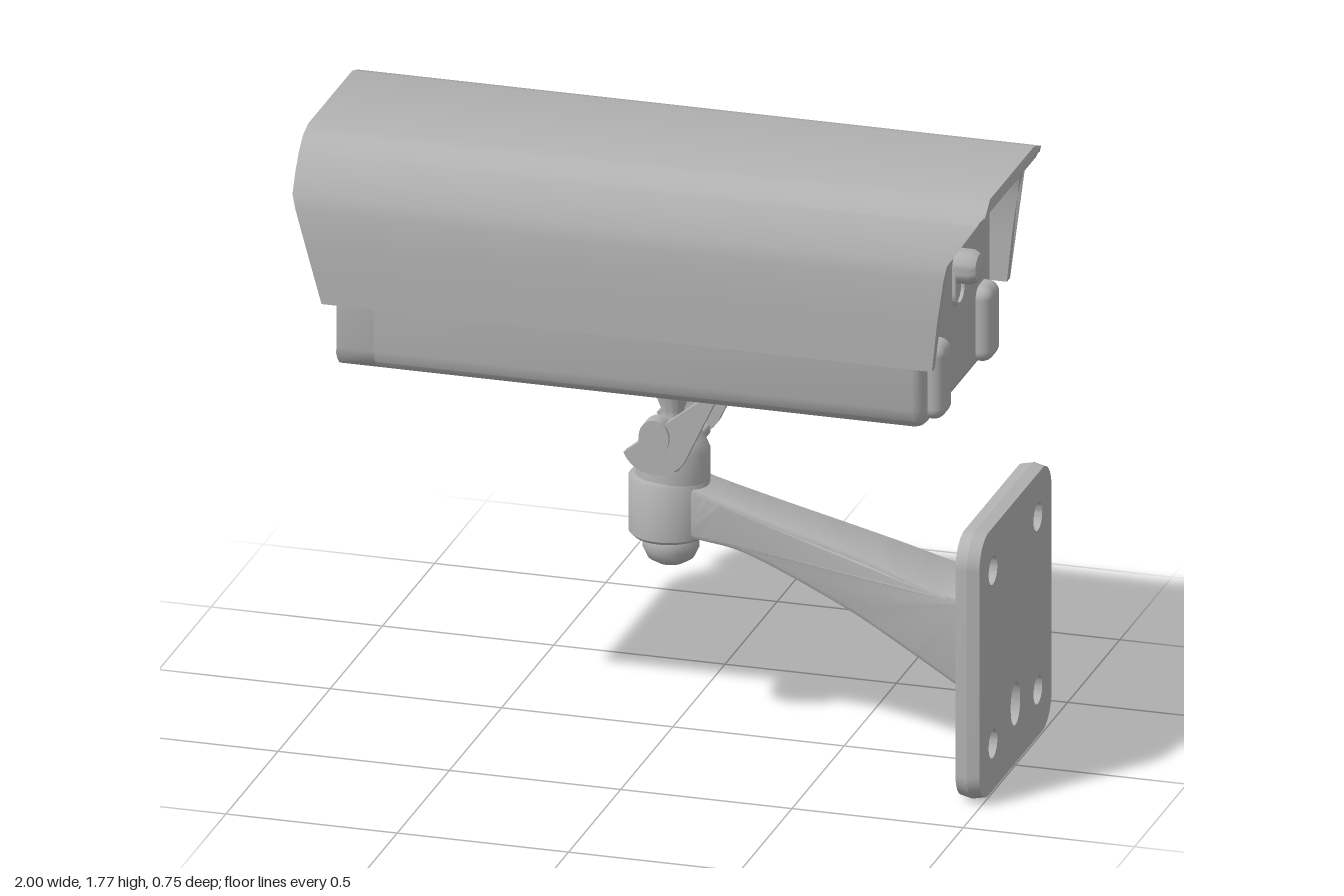
import * as THREE from 'three';
import { toCreasedNormals, mergeVertices } from 'three/addons/utils/BufferGeometryUtils.js';
import { RoundedBoxGeometry } from 'three/addons/geometries/RoundedBoxGeometry.js';

const grey = new THREE.MeshStandardMaterial({ color: 0xb2b2b2 });
grey.name = 'grey metal';

const crease = (g, a = 0.6) => toCreasedNormals(g, a);

// Piecewise-linear lookup through [input, output] pairs
function lookup(pairs, v) {
  if (v <= pairs[0][0]) return pairs[0][1];
  for (let i = 1; i < pairs.length; i++) {
    const [a, p] = pairs[i - 1], [b, q] = pairs[i];
    if (v <= b) return p + (q - p) * (v - a) / (b - a);
  }
  return pairs[pairs.length - 1][1];
}

// Mirrors a half profile [z, y] (right side, bottom to top) to the other side
const mirrored = half => [...half, ...half.map(([z, y]) => [-z, y]).reverse()];
const vecs = pts => pts.map(p => new THREE.Vector2(...p));

// Extrudes a (z, y) shape along x from x0 to x1, bevel kept inside the outline
function extrudeX(shape, x0, x1, bevel = 0) {
  const g = new THREE.ExtrudeGeometry(shape, {
    depth: x1 - x0 - 2 * bevel, curveSegments: 20, bevelEnabled: bevel > 0,
    bevelThickness: bevel, bevelSize: bevel, bevelOffset: -bevel, bevelSegments: 3,
  });
  return g.rotateY(Math.PI / 2).translate(x0 + bevel, 0, 0);
}

function roundedRect(z0, y0, z1, y1, r) {
  const s = new THREE.Shape();
  s.absarc(z1 - r, y0 + r, r, -Math.PI / 2, 0);
  s.absarc(z1 - r, y1 - r, r, 0, Math.PI / 2);
  s.absarc(z0 + r, y1 - r, r, Math.PI / 2, Math.PI);
  s.absarc(z0 + r, y0 + r, r, Math.PI, Math.PI * 1.5);
  s.closePath();
  return s;
}

function ellipseHole(z, y, rz, ry) {
  return new THREE.Path().absellipse(z, y, rz, ry, 0, Math.PI * 2, true);
}

export function createModel() {
  const root = new THREE.Group();
  root.name = 'wallCamera';
  const add = (name, geometry, parent = root) => {
    const m = new THREE.Mesh(geometry, grey);
    m.name = name;
    parent.add(m);
    return m;
  };
  const lathe = pts => crease(new THREE.LatheGeometry(vecs(pts), 32), 0.7);
  const latheX = (pts, x, y, z = 0) => lathe(pts).rotateZ(-Math.PI / 2).translate(x, y, z);

  // Sunshield: U-shaped shell with shaped front and back edges
  const outer = [[0.375, 1.305], [0.374, 1.45], [0.372, 1.58], [0.362, 1.62], [0.335, 1.675],
    [0.3, 1.725], [0.26, 1.76], [0.21, 1.775]];
  const inner = [[0.345, 1.305], [0.345, 1.45], [0.343, 1.57], [0.334, 1.61], [0.31, 1.66],
    [0.28, 1.7], [0.245, 1.732], [0.2, 1.746]];
  const hood = extrudeX(new THREE.Shape(vecs([...mirrored(outer), ...mirrored(inner).reverse()])), 0, 1);
  const frontEdge = [[1.3, -0.91], [1.62, -1]];
  const backEdge = [[1.305, 0.87], [1.5, 0.89], [1.62, 0.91], [1.68, 0.93], [1.73, 0.985], [1.75, 1], [1.775, 0.99]];
  const hp = hood.attributes.position;
  for (let i = 0; i < hp.count; i++) {
    hp.setX(i, lookup(hp.getX(i) < 0.5 ? frontEdge : backEdge, hp.getY(i)));
  }
  add('sunshield', crease(hood, 0.5));

  // Housing with a raised frame around the recessed window
  const bodyPts = mirrored([[0.275, 1.1], [0.305, 1.107], [0.328, 1.13], [0.336, 1.165], [0.336, 1.56],
    [0.325, 1.61], [0.3, 1.66], [0.265, 1.705], [0.23, 1.73], [0.19, 1.742]]);
  add('housing', crease(extrudeX(new THREE.Shape(vecs(bodyPts)), -0.8, 0.83, 0.03)));
  const frame = new THREE.Shape(vecs(bodyPts));
  frame.holes.push(new THREE.Path(roundedRect(-0.285, 1.15, 0.285, 1.69, 0.08).getPoints(8).reverse()));
  add('windowFrame', crease(extrudeX(frame, -0.88, -0.77)));

  // Lens: stepped rings facing forward with a domed glass
  add('lens', latheX([[0.12, 0], [0.215, 0], [0.215, -0.03], [0.2, -0.045], [0.175, -0.045], [0.165, -0.02],
    [0.14, -0.02], [0.135, -0.055], [0.11, -0.055], [0.095, -0.025], [0.07, -0.035], [0.035, -0.045],
    [0, -0.048]].reverse(), -0.8, 1.42));

  // Screws in the lower window frame corners, and side latches at the rear
  for (const s of [-1, 1]) {
    add('frameScrew', new THREE.CylinderGeometry(0.018, 0.018, 0.02, 16)
      .rotateZ(Math.PI / 2).translate(-0.882, 1.135, s * 0.28));
    add('rearLatch', new RoundedBoxGeometry(0.1, 0.225, 0.11, 4, 0.035).translate(0.825, 1.23, s * 0.23));
  }

  // Rear cable fittings
  add('rearScrew', latheX([[0.055, 0], [0.055, 0.02], [0.045, 0.035], [0.028, 0.035], [0.028, 0.02], [0, 0.02]],
    0.825, 1.6));
  const slot = roundedRect(-0.05, 1.36, 0.05, 1.52, 0.049);
  slot.holes.push(new THREE.Path(roundedRect(-0.038, 1.372, 0.038, 1.508, 0.037).getPoints(8).reverse()));
  add('connectorSlot', crease(extrudeX(slot, 0.82, 0.84)));
  add('cableFitting', latheX([[0.05, 0], [0.05, 0.05], [0.04, 0.07], [0.02, 0.075], [0, 0.075]], 0.825, 1.48));

  // Yoke: two tapered cheeks joined under the ball joint
  const yoke = new THREE.Group();
  yoke.name = 'yoke';
  root.add(yoke);
  const cheek = new THREE.Shape();
  cheek.moveTo(-0.23, 1.11);
  cheek.absarc(0, 0.92, 0.1, Math.PI + 0.42, Math.PI * 2 - 0.42);
  cheek.lineTo(0.2, 1.11);
  cheek.closePath();
  for (const s of [-1, 1]) {
    const g = new THREE.ExtrudeGeometry(cheek, { depth: 0.03, bevelEnabled: false, curveSegments: 20 });
    add('yokeCheek', crease(g.translate(0, 0, s * 0.16 - 0.015)), yoke);
    add('yokeBolt', new THREE.CylinderGeometry(0.044, 0.044, 0.05, 24).scale(1, 1, 1.2)
      .rotateX(Math.PI / 2).translate(0, 0.935, s * 0.16), yoke);
  }
  add('yokeStrap', new RoundedBoxGeometry(0.13, 0.035, 0.32, 2, 0.012).translate(0, 0.845, 0), yoke);
  add('mountRail', new THREE.BoxGeometry(0.42, 0.012, 0.34).translate(-0.015, 1.1, 0), yoke);

  // Ball joint, arm collar and the knob below it
  add('ballJoint', lathe([[0.105, 0.74], [0.105, 0.84], [0.09, 0.875], [0.06, 0.905], [0.035, 0.93], [0.032, 0.955],
    [0.052, 1.01], [0.056, 1.06], [0.045, 1.095], [0, 1.105]]));
  add('armCollar', lathe([[0, 0.585], [0.105, 0.585], [0.115, 0.595], [0.115, 0.755], [0.105, 0.768], [0, 0.768]])
    .translate(-0.01, 0, 0));
  add('lockKnob', lathe([[0, 0.497], [0.04, 0.5], [0.066, 0.516], [0.08, 0.545], [0.08, 0.575], [0.07, 0.59],
    [0, 0.59]]).translate(-0.005, 0, 0));

  // Arm: side outline, widening towards the wall
  const arm = new THREE.Shape();
  arm.moveTo(0.03, 0.6);
  arm.splineThru(vecs([[0.12, 0.595], [0.25, 0.57], [0.5, 0.465], [0.7, 0.36], [0.95, 0.22]]));
  arm.lineTo(0.95, 0.545);
  arm.splineThru(vecs([[0.83, 0.538], [0.6, 0.605], [0.3, 0.685], [0.12, 0.735], [0.03, 0.765]]));
  arm.closePath();
  const armGeo = new THREE.ExtrudeGeometry(arm, {
    depth: 1.8, curveSegments: 10, bevelThickness: 0.1, bevelSize: 0.014, bevelOffset: -0.014, bevelSegments: 3,
  }).translate(0, 0, -0.9);
  const ap = armGeo.attributes.position;
  for (let i = 0; i < ap.count; i++) {
    ap.setZ(i, ap.getZ(i) * lookup([[0.1, 0.075], [0.6, 0.1], [0.95, 0.135]], ap.getX(i)));
  }
  add('arm', crease(armGeo, 0.5));

  // Wall plate: blind screw holes behind, one cable hole right through
  const plate = new THREE.Group();
  plate.name = 'wallPlate';
  root.add(plate);
  for (const [name, x0, x1, screws] of [['plateFront', 0.93, 0.965, false], ['plateBack', 0.965, 1, true]]) {
    const s = roundedRect(-0.352, 0, 0.352, 0.8, 0.09);
    s.holes.push(ellipseHole(0, 0.185, 0.046, 0.065));
    if (screws) for (const z of [-0.215, 0.215]) for (const y of [0.145, 0.665]) {
      s.holes.push(ellipseHole(z, y, 0.042, 0.042));
    }
    const g = extrudeX(s, x0, x1);
    // Soften the outer rim on the exposed side
    const p = g.attributes.position;
    for (let i = 0; i < p.count; i++) {
      const z = p.getZ(i), y = p.getY(i) - 0.4;
      const rim = Math.abs(z) > 0.3 || Math.abs(y) > 0.35;
      const exposed = screws ? p.getX(i) > 0.99 : p.getX(i) < 0.94;
      if (rim && exposed) p.setXYZ(i, p.getX(i), y * 0.985 + 0.4, z * 0.983);
    }
    add(name, crease(g, 0.5), plate);
  }
  return root;
}
